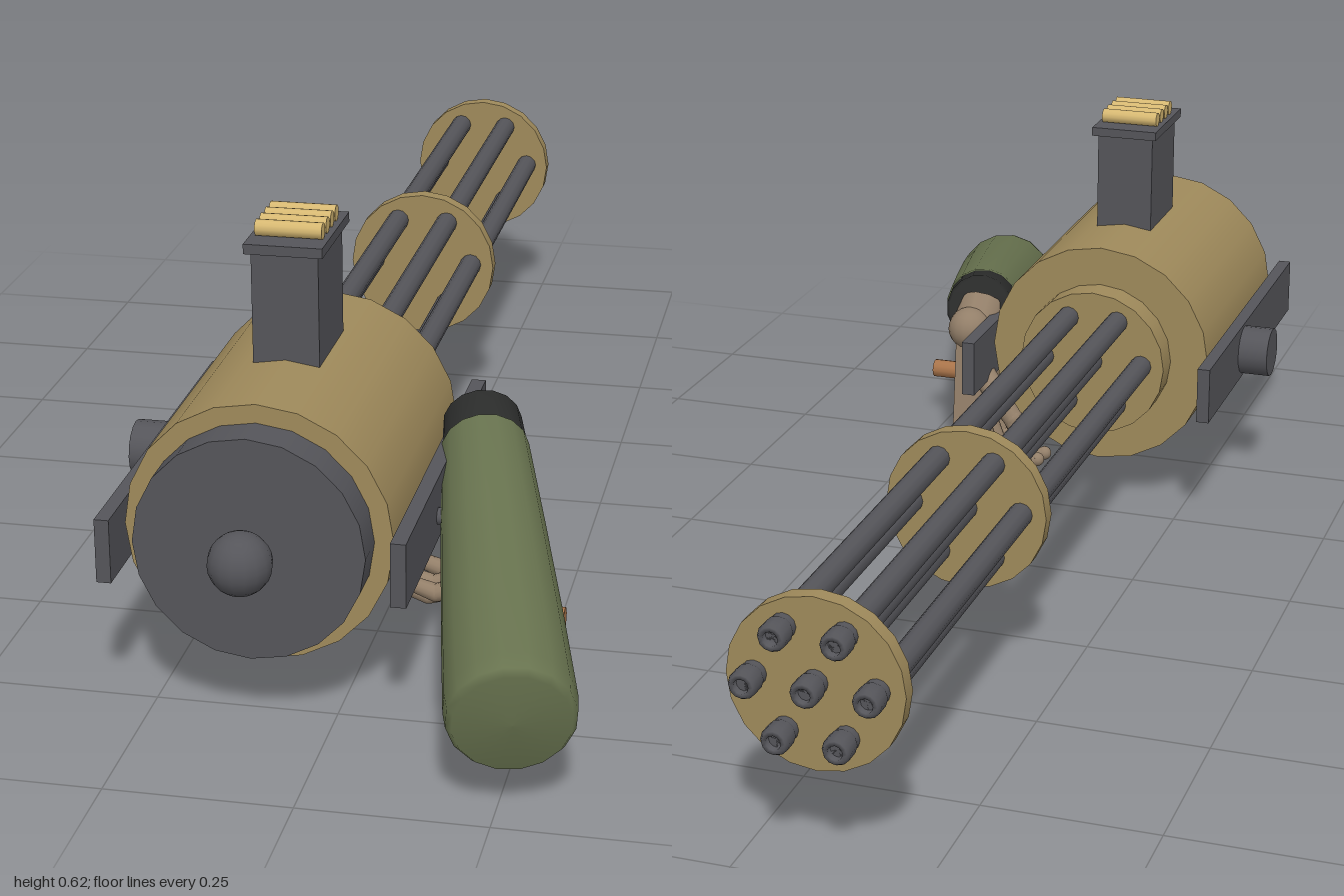
import * as THREE from 'three';

const mat = (color) => new THREE.MeshStandardMaterial({ color });
const V = (x, y, z) => new THREE.Vector3(x, y, z);
const AX = -0.105, AY = 0.259; // barrel axis

export function createModel() {
  const root = new THREE.Group();
  const brass = mat(0x9f8a5b), steel = mat(0x55555a), gold = mat(0xd6b872), copper = mat(0xa9744a);
  const olive = mat(0x68734f), black = mat(0x2b2c2b), skin = mat(0x937f69);

  const add = (name, geo, material, pos, parent = root) => {
    const m = new THREE.Mesh(geo, material);
    m.name = name;
    if (pos) m.position.copy(pos);
    parent.add(m);
    return m;
  };
  const box = (name, material, x0, x1, y0, y1, z0, z1, parent) =>
    add(name, new THREE.BoxGeometry(x1 - x0, y1 - y0, z1 - z0), material,
      V((x0 + x1) / 2, (y0 + y1) / 2, (z0 + z1) / 2), parent);
  // cylinder from point a (radius ra) to point b (radius rb)
  const rod = (name, material, a, b, ra, rb = ra, sides = 12, parent = root) => {
    const m = add(name, new THREE.CylinderGeometry(rb, ra, a.distanceTo(b), sides), material,
      a.clone().add(b).multiplyScalar(0.5), parent);
    m.quaternion.setFromUnitVectors(V(0, 1, 0), b.clone().sub(a).normalize());
    return m;
  };
  const disc = (name, material, z0, z1, r, sides = 20) =>
    rod(name, material, V(AX, AY, z0), V(AX, AY, z1), r, r, sides);
  const ball = (name, material, p, r, parent = root) =>
    add(name, new THREE.SphereGeometry(r, 16, 12), material, p, parent);

  // housing
  disc('housing', brass, 0.745, 0.303, 0.182);
  disc('rearCap', steel, 0.80, 0.745, 0.156);
  ball('rearKnob', steel, V(AX, AY, 0.84), 0.043);
  disc('frontCollar', brass, 0.305, 0.257, 0.12);

  // barrel cluster: six around one, held by two clamps
  const barrels = new THREE.Group();
  barrels.name = 'barrels';
  root.add(barrels);
  for (let i = 0; i < 7; i++) {
    const r = i < 6 ? 0.082 : 0, a = (i * Math.PI) / 3;
    const x = AX + r * Math.cos(a), y = AY + 0.004 + r * Math.sin(a);
    rod('barrel', steel, V(x, y, 0.27), V(x, y, -0.99), 0.0175, 0.0175, 12, barrels);
    // muzzle with a recessed bore
    const profile = [[0.0175, 0], [0.0195, 0.005], [0.0195, 0.026], [0.016, 0.032], [0.010, 0.032], [0.010, 0.022], [0, 0.022]];
    const muzzle = add('muzzle', new THREE.LatheGeometry(profile.map((p) => new THREE.Vector2(...p)), 12),
      steel, V(x, y, -0.968), barrels);
    muzzle.rotation.x = -Math.PI / 2;
  }
  disc('middleClamp', brass, -0.355, -0.38, 0.12);
  disc('muzzleClamp', brass, -0.934, -0.958, 0.12);

  // ammunition feed
  box('feedChute', steel, -0.15, -0.058, 0.38, 0.592, 0.44, 0.583);
  box('feedRim', steel, -0.158, -0.05, 0.591, 0.605, 0.43, 0.592);
  for (let i = 0; i < 4; i++) {
    const z = 0.471 + i * 0.0265;
    rod('cartridge', gold, V(-0.15, 0.616, z), V(-0.058, 0.616, z), 0.0115);
  }

  // side rails, left knob and right crank
  box('rightRail', steel, -0.312, -0.292, 0.195, 0.285, 0.215, 0.80);
  box('leftRail', steel, 0.083, 0.104, 0.195, 0.285, 0.215, 0.80);
  rod('railKnob', steel, V(-0.31, 0.24, 0.452), V(-0.36, 0.24, 0.452), 0.04, 0.04, 16);
  rod('crankShaft', steel, V(0.07, 0.23, 0.583), V(0.188, 0.23, 0.583), 0.012);
  box('crankArm', steel, 0.178, 0.191, 0.083, 0.24, 0.574, 0.592);
  rod('crankHandle', copper, V(0.19, 0.092, 0.583), V(0.28, 0.092, 0.583), 0.0155);

  // sleeve and cuff, turned along the forearm
  const arm = new THREE.Group();
  arm.name = 'forearm';
  const wrist = V(0.127, 0.289, 0.375), elbow = V(0.272, 0.139, 0.973);
  arm.position.copy(wrist);
  arm.quaternion.setFromUnitVectors(V(0, 1, 0), elbow.clone().sub(wrist).normalize());
  root.add(arm);
  const L = wrist.distanceTo(elbow);
  const turned = (name, material, pts) =>
    add(name, new THREE.LatheGeometry(pts.map((p) => new THREE.Vector2(...p)), 16), material, null, arm);
  turned('cuff', black, [[0, 0], [0.051, 0], [0.056, 0.006], [0.06, 0.075], [0.05, 0.078]]);
  turned('sleeve', olive, [[0, 0.066], [0.056, 0.066], [0.062, 0.072], [0.071, 0.25], [0.08, 0.45],
    [0.085, L - 0.035], [0.083, L - 0.008], [0.076, L + 0.002], [0, L + 0.006]]);

  // hand: palm narrowing toward the wrist
  const hand = new THREE.Group();
  hand.name = 'hand';
  root.add(hand);
  const palm = box('palm', skin, 0.1, 0.152, 0.1, 0.262, 0.308, 0.448, hand);
  const pos = palm.geometry.attributes.position;
  for (let i = 0; i < pos.count; i++) {
    if (pos.getY(i) > 0) pos.setZ(i, pos.getZ(i) * 0.72);
  }
  palm.geometry.computeVertexNormals();
  rod('wrist', skin, V(0.13, 0.25, 0.355), V(0.132, 0.283, 0.40), 0.036, 0.044, 12, hand);
  ball('wristJoint', skin, V(0.135, 0.262, 0.348), 0.036, hand);

  // digits: chains of tapered segments with round joints
  const digit = (name, pts, r) => {
    const g = new THREE.Group();
    g.name = name;
    hand.add(g);
    pts.forEach((p, i) => {
      const ri = r * (1 - 0.1 * i);
      ball('joint', skin, p, ri, g);
      if (i) rod('segment', skin, pts[i - 1], p, r * (1 - 0.1 * (i - 1)), ri, 12, g);
    });
  };
  [0.93, 1.03, 1.05, 0.8].forEach((s, i) => {
    const z = 0.327 + i * 0.0345, y = 0.108;
    digit('finger', [V(0.127, y, z), V(0.127 - 0.028 * s, y - 0.072 * s, z),
      V(0.127 - 0.07 * s, y - 0.085 * s, z + 0.002), V(0.127 - 0.104 * s, y - 0.073 * s, z + 0.003)], 0.0165);
  });
  digit('thumb', [V(0.112, 0.205, 0.325), V(0.062, 0.168, 0.283), V(0.037, 0.138, 0.279), V(0.028, 0.118, 0.278)], 0.021);

  return root;
}
